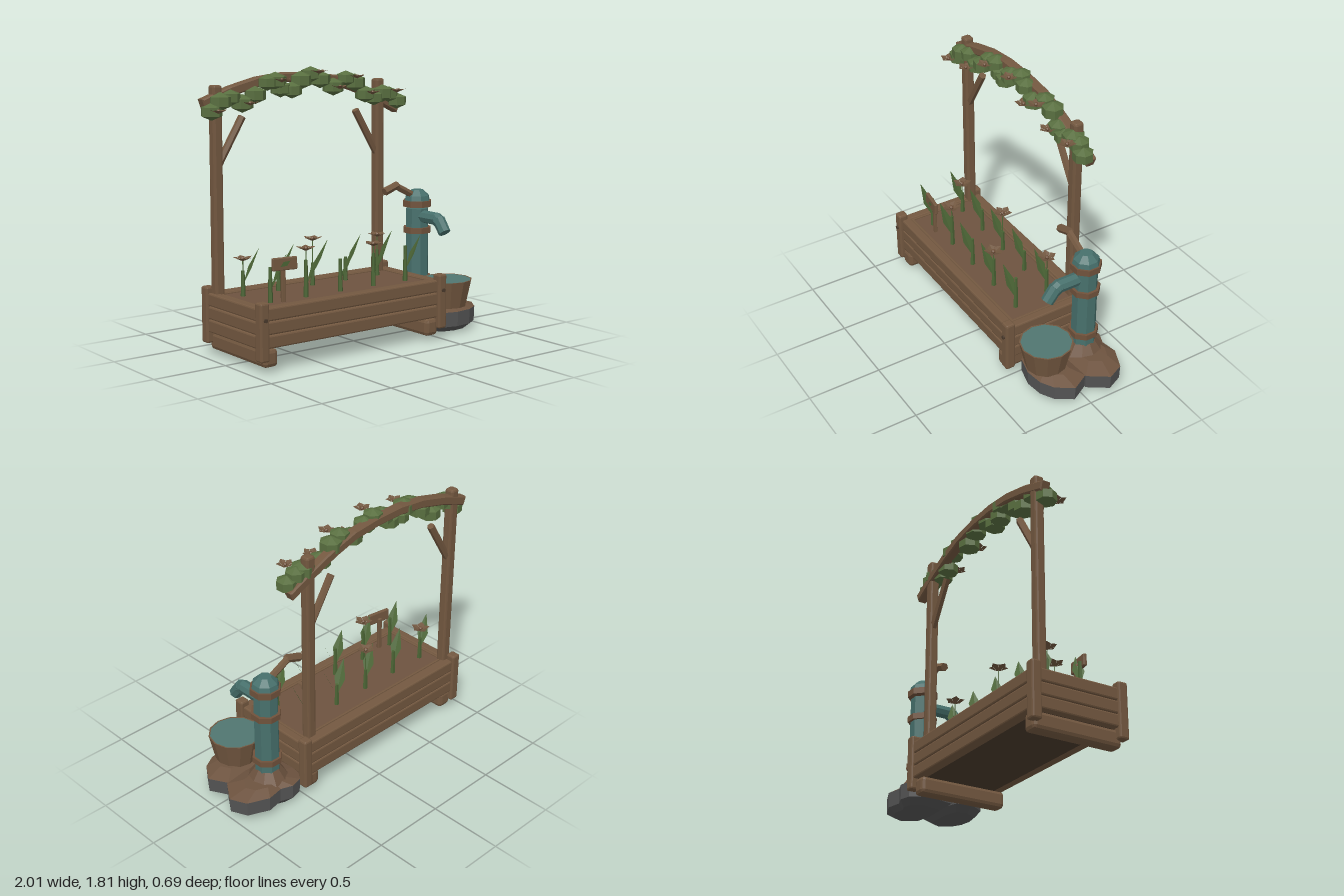
import * as THREE from 'three';
import { RoundedBoxGeometry } from 'three/addons/geometries/RoundedBoxGeometry.js';

const mat = (name, color, side = THREE.FrontSide) => {
  const m = new THREE.MeshStandardMaterial({ color, side });
  m.name = name;
  return m;
};

export function createModel() {
  const root = new THREE.Group();
  root.name = 'planterWithPump';
  const wood = mat('wood', 0x735840);
  const soilMat = mat('soil', 0x6d533f);
  const darkWood = mat('darkWood', 0x4a3a2c);
  const copper = mat('copperBrown', 0x70523b);
  const teal = mat('teal', 0x47706c);
  const waterMat = mat('water', 0x507670);
  const foliage = mat('foliage', 0x596f40);
  const plantGreen = mat('plantGreen', 0x4b6535);
  const petal = mat('petal', 0x70563f, THREE.DoubleSide);
  const stone = mat('stone', 0x545454);

  const flat = (g) => {
    const f = g.index ? g.toNonIndexed() : g;
    f.computeVertexNormals();
    return f;
  };
  const add = (name, geo, material, x = 0, y = 0, z = 0, parent = root) => {
    const m = new THREE.Mesh(flat(geo), material);
    m.name = name;
    m.position.set(x, y, z);
    parent.add(m);
    return m;
  };
  // Chamfered box given by its minimum and maximum corners
  const box = (name, x0, x1, y0, y1, z0, z1, material = wood, bevel = 0.01) =>
    add(name, new RoundedBoxGeometry(x1 - x0, y1 - y0, z1 - z0, 1, bevel), material,
      (x0 + x1) / 2, (y0 + y1) / 2, (z0 + z1) / 2);
  // Straight round bar between two points
  const rod = (name, a, b, r0, r1, sides, material, parent = root) => {
    const p = new THREE.Vector3(...a), q = new THREE.Vector3(...b), d = q.clone().sub(p);
    const m = add(name, new THREE.CylinderGeometry(r1, r0, d.length(), sides), material, 0, 0, 0, parent);
    m.position.copy(p).add(q).multiplyScalar(0.5);
    m.quaternion.setFromUnitVectors(new THREE.Vector3(0, 1, 0), d.normalize());
    return m;
  };
  const tris = (points) => new THREE.BufferGeometry()
    .setAttribute('position', new THREE.Float32BufferAttribute(points.flat(), 3));

  // Planter box: three planks per side, corner posts, bolts and skids
  for (let i = 0; i < 3; i++) {
    const y0 = 0.148 + i * 0.085, y1 = y0 + 0.082;
    box('frontPlank', -0.93, 0.49, y0, y1, 0.245, 0.31);
    box('backPlank', -0.93, 0.49, y0, y1, -0.328, -0.25);
    box('leftPlank', 0.445, 0.505, y0, y1, -0.29, 0.29);
    box('rightPlank', -0.945, -0.885, y0, y1, -0.29, 0.29);
  }
  for (const x of [-0.925, 0.49]) {
    for (const z of [-0.308, 0.302]) box('cornerPost', x - 0.033, x + 0.033, 0.075, 0.44, z - 0.035, z + 0.033, wood, 0.012);
    const bolt = add('bolt', new THREE.CylinderGeometry(0.013, 0.013, 0.02, 8), darkWood, x, 0.335, 0.336);
    bolt.rotation.x = Math.PI / 2;
  }
  for (const x of [-0.865, 0.42]) box('skid', x - 0.052, x + 0.052, 0.03, 0.145, -0.31, 0.31, wood, 0.025);
  box('floor', -0.9, 0.46, 0.15, 0.17, -0.26, 0.26, darkWood, 0.002);
  box('soil', -0.9, 0.46, 0.3, 0.388, -0.26, 0.26, soilMat, 0.005);
  for (const s of [-1, 1]) box('liner', -0.885, 0.445, 0.37, 0.396, s * 0.238 - 0.008, s * 0.238 + 0.008, wood, 0.003);
  for (const x of [-0.877, 0.437]) box('liner', x - 0.008, x + 0.008, 0.37, 0.396, -0.24, 0.24, wood, 0.003);

  // Arch frame: two posts, braces and a curved beam
  for (const x of [-0.89, 0.398]) box('archPost', x - 0.033, x + 0.033, 0.16, 1.71, -0.28, -0.214, wood, 0.014);
  rod('brace', [-0.875, 1.21, -0.247], [-0.695, 1.505, -0.247], 0.025, 0.025, 6, wood);
  rod('brace', [0.385, 1.21, -0.247], [0.205, 1.505, -0.247], 0.025, 0.025, 6, wood);
  const spine = [[-0.98, 1.6], [-0.78, 1.67], [-0.58, 1.72], [-0.38, 1.742], [-0.18, 1.738],
    [0.02, 1.715], [0.2, 1.66], [0.37, 1.59], [0.55, 1.505]].map((p) => new THREE.Vector2(...p));
  const edge = (off) => spine.map((p, i) => {
    const t = spine[Math.min(i + 1, 8)].clone().sub(spine[Math.max(i - 1, 0)]).normalize();
    return new THREE.Vector2(p.x - t.y * off, p.y + t.x * off);
  });
  add('archBeam', new THREE.ExtrudeGeometry(new THREE.Shape([...edge(-0.022), ...edge(0.022).reverse()]),
    { depth: 0.05, bevelSize: 0.009, bevelThickness: 0.009, bevelSegments: 1 }), wood, 0, 0, -0.274);

  // Five-petalled flower
  const flower = (name, x, y, z, r, turn) => {
    const pts = [];
    for (let i = 0; i < 5; i++) {
      const a = turn + (i * Math.PI * 2) / 5;
      const at = (k, h, da) => [Math.cos(a + da) * r * k, h * r, -Math.sin(a + da) * r * k];
      const base = [0, -0.15 * r, 0], tip = at(1.05, 0.3, 0);
      pts.push(base, at(0.75, 0.2, -0.6), tip, base, tip, at(0.75, 0.2, 0.6));
    }
    add(name, tris(pts), petal, x, y, z);
    add(name + 'Heart', new THREE.IcosahedronGeometry(r * 0.26, 0), copper, x, y + r * 0.12, z);
  };

  // Vine clumps and blossoms along the beam
  const clumps = [[-0.94, 1.55], [-0.88, 1.61], [-0.8, 1.63], [-0.71, 1.59], [-0.62, 1.64], [-0.53, 1.715],
    [-0.46, 1.72], [-0.42, 1.67], [-0.34, 1.66], [-0.27, 1.72], [-0.18, 1.755], [-0.11, 1.72], [-0.01, 1.67],
    [0.1, 1.72], [0.18, 1.69], [0.26, 1.61], [0.33, 1.585], [0.41, 1.61], [0.47, 1.6], [0.53, 1.555]];
  clumps.forEach(([x, y], i) => {
    const m = add('vineClump', new THREE.SphereGeometry(0.078 + 0.006 * Math.sin(i * 2.3), 7, 3), foliage,
      x, y, -0.212 + 0.008 * Math.sin(i * 1.7));
    m.scale.set(1, 0.72, 1);
    m.rotation.y = i * 0.9;
  });
  [[-0.94, 1.55], [-0.71, 1.59], [-0.47, 1.725], [-0.18, 1.77], [-0.01, 1.665], [0.13, 1.73], [0.26, 1.62], [0.47, 1.625]]
    .forEach(([x, y], i) => flower('vineBlossom', x, y, -0.128, 0.055, i));

  // Two rows of leafy plants, alternately in flower
  const flowerY = [0.62, 0.69, 0.69, 0.66, 0.66];
  for (let row = 0; row < 2; row++) {
    for (let i = 0; i < 5; i++) {
      const x = (row ? -0.755 : -0.785) + i * 0.27, z = row ? 0.14 : -0.12;
      const plant = new THREE.Group();
      plant.name = 'plant';
      plant.position.set(x, 0.38, z);
      root.add(plant);
      const h = (row ? 0.23 : 0.17) + 0.015 * Math.sin(i * 2);
      rod('stem', [0, 0, 0], [0, h, 0], 0.017, 0.011, 5, plantGreen, plant);
      // Leaf blades face up and inwards
      for (const s of [-1, 1]) {
        const base = [0, 0.08, 0], tip = [s * 0.105, 0.31, 0];
        const back = [s * 0.045, 0.19, s * -0.04], front = [s * 0.045, 0.19, s * 0.04];
        const leaf = add('leaf', tris([base, front, tip, base, tip, back]), plantGreen, 0, 0, 0, plant);
        leaf.rotation.y = -s * 0.35;
      }
      if (i % 2 === row) {
        rod('flowerStalk', [0, h, 0], [0, flowerY[i] - 0.38, 0], 0.004, 0.004, 4, plantGreen, plant);
        flower('flower', x, flowerY[i], z, 0.062, i);
      }
    }
  }

  // Garden sign with a leaf mark
  const sign = new THREE.Group();
  sign.name = 'gardenSign';
  sign.position.set(-0.68, 0.63, 0.185);
  sign.rotation.y = -0.14;
  root.add(sign);
  add('signStake', new RoundedBoxGeometry(0.028, 0.25, 0.022, 1, 0.004), wood, 0, -0.13, -0.018, sign);
  add('signBoard', new RoundedBoxGeometry(0.17, 0.08, 0.025, 1, 0.006), wood, 0, 0, 0, sign);
  add('signLeaf', tris([[-0.035, -0.016, 0], [0.012, -0.012, 0], [0.035, 0.018, 0],
    [-0.035, -0.016, 0], [0.035, 0.018, 0], [-0.012, 0.014, 0]]), plantGreen, 0, 0, 0.0145, sign);

  // Flat boulders, each a stone body with an earthy top
  const loft = (outline, rings) => {
    const cx = outline.reduce((s, p) => s + p[0], 0) / outline.length;
    const cz = outline.reduce((s, p) => s + p[1], 0) / outline.length;
    const at = ([k, y], i) => {
      const p = outline[i % outline.length];
      return [cx + (p[0] - cx) * k, y, cz + (p[1] - cz) * k];
    };
    const pts = [];
    for (let r = 0; r + 1 < rings.length; r++) {
      const a = rings[r], b = rings[r + 1];
      outline.forEach((_, i) => pts.push(at(a, i), at(b, i), at(b, i + 1), at(a, i), at(b, i + 1), at(a, i + 1)));
    }
    return tris(pts);
  };
  const outlines = [
    [[0.47, -0.2], [0.54, -0.31], [0.62, -0.33], [0.7, -0.3], [0.81, -0.32], [0.95, -0.26], [1, -0.15], [0.91, -0.02], [0.75, 0.01], [0.52, 0]],
    [[0.47, 0.12], [0.5, 0.02], [0.62, -0.02], [0.9, -0.02], [0.965, 0.1], [0.89, 0.21], [0.8, 0.26], [0.68, 0.275], [0.55, 0.24]],
  ];
  for (const o of outlines) {
    add('boulder', loft(o, [[0, 0], [0.7, 0.012], [0.98, 0.05], [1, 0.15]]), stone);
    add('boulderTop', loft(o, [[1, 0.15], [0.55, 0.182], [0, 0.185]]), soilMat);
  }

  // Hand pump: base, pipe, bands, cap, spout and handle
  const px = 0.677, pz = -0.153;
  const drum = (name, y0, y1, r0, r1, material, sides = 8) =>
    add(name, new THREE.CylinderGeometry(r1, r0, y1 - y0, sides), material, px, (y0 + y1) / 2, pz)
      .rotateY(Math.PI / sides);
  drum('pumpBase', 0.165, 0.245, 0.135, 0.08, soilMat, 10);
  drum('pumpPipe', 0.22, 0.81, 0.082, 0.08, teal);
  drum('lowerBand', 0.3, 0.34, 0.099, 0.099, copper);
  drum('upperBand', 0.64, 0.68, 0.099, 0.099, copper);
  drum('capBand', 0.822, 0.865, 0.102, 0.102, copper);
  drum('capShoulder', 0.865, 0.898, 0.09, 0.083, teal);
  drum('capTop', 0.898, 0.938, 0.083, 0.042, teal);
  rod('spoutArm', [px, 0.757, pz + 0.04], [px, 0.757, 0.06], 0.044, 0.044, 8, teal);
  rod('spoutElbow', [px, 0.765, 0.04], [px, 0.735, 0.085], 0.044, 0.044, 8, teal);
  rod('spoutNozzle', [px, 0.757, 0.07], [px, 0.672, 0.135], 0.044, 0.042, 8, teal);
  rod('handleArm', [0.66, 0.89, pz], [0.48, 0.98, pz], 0.024, 0.024, 6, wood);
  rod('handleGrip', [0.5, 0.985, pz], [0.385, 0.945, pz], 0.026, 0.028, 6, wood);

  // Bucket of water
  const bucket = [[0, 0.175], [0.135, 0.175], [0.175, 0.357], [0.166, 0.357], [0.16, 0.335]]
    .map((p) => new THREE.Vector2(...p));
  add('bucket', new THREE.LatheGeometry(bucket, 12), wood, 0.69, 0, 0.143);
  add('bucketWater', new THREE.CylinderGeometry(0.166, 0.162, 0.012, 12), waterMat, 0.69, 0.35, 0.143);

  return root;
}
